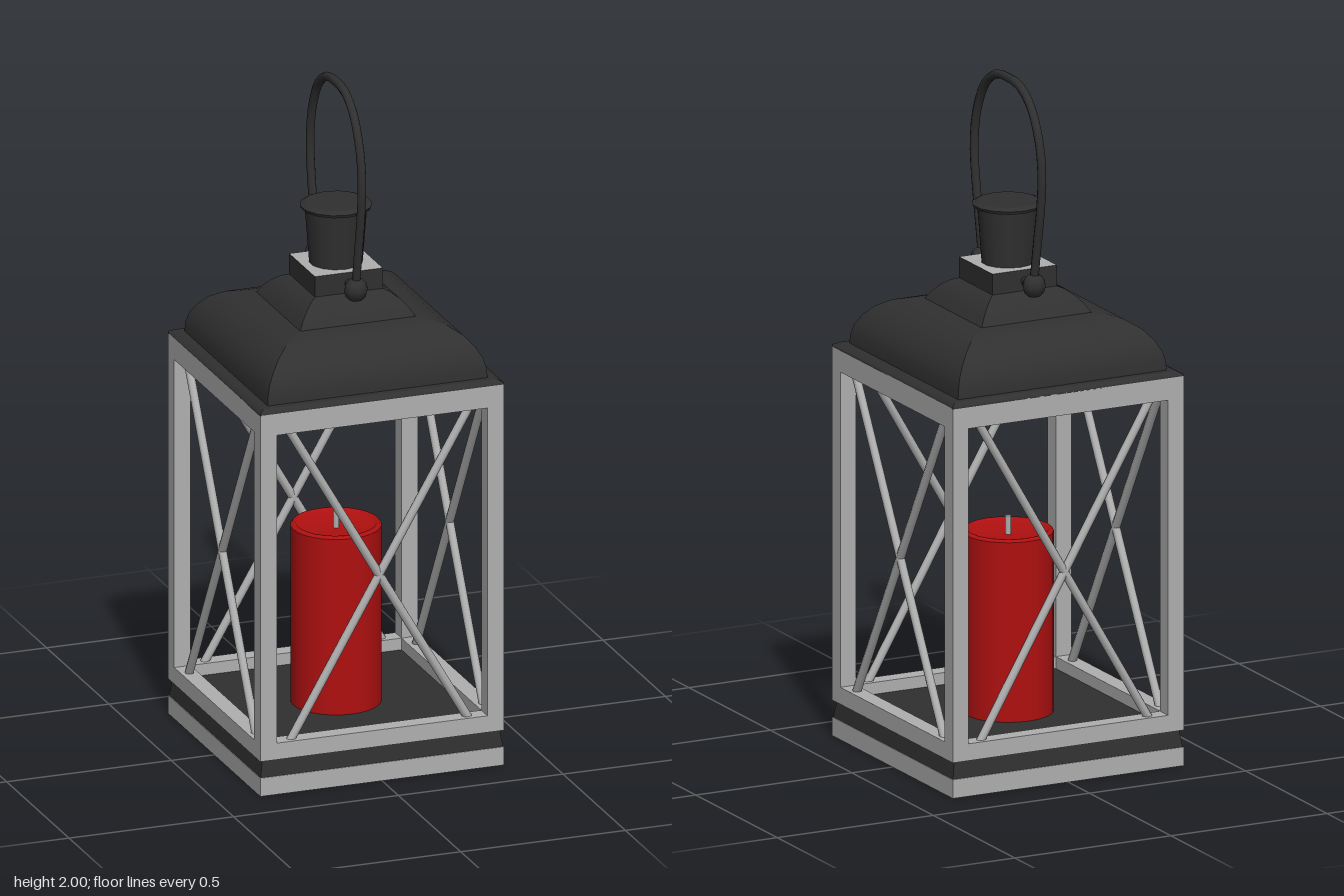
import * as THREE from 'three';
import { mergeGeometries } from 'three/addons/utils/BufferGeometryUtils.js';

const mat = (name, color) => {
  const m = new THREE.MeshStandardMaterial({ color });
  m.name = name;
  return m;
};

// Square loft: profile of [half width, y] from bottom to top, smooth along it, sharp at corners
function squareLoft(profile) {
  const sides = [];
  for (let s = 0; s < 4; s++) {
    const pos = [], idx = [];
    profile.forEach(([w, y], i) => {
      pos.push(-w, y, w, w, y, w);
      if (i) {
        const a = 2 * i - 2;
        idx.push(a, a + 1, a + 3, a, a + 3, a + 2);
      }
    });
    const g = new THREE.BufferGeometry();
    g.setAttribute('position', new THREE.Float32BufferAttribute(pos, 3));
    g.setIndex(idx);
    g.computeVertexNormals();
    sides.push(g.rotateY(s * Math.PI / 2));
  }
  return mergeGeometries(sides);
}

export function createModel() {
  const model = new THREE.Group();
  model.name = 'lantern';
  const black = mat('blackMetal', 0x303030);
  const grey = mat('greyFrame', 0xb0b0b0);
  const red = mat('redWax', 0xb01010);

  const add = (name, geo, material, x = 0, y = 0, z = 0, parent = model) => {
    const m = new THREE.Mesh(geo, material);
    m.name = name;
    m.position.set(x, y, z);
    parent.add(m);
    return m;
  };
  const box = (w, h, d) => new THREE.BoxGeometry(w, h, d);

  // Base: grey slab with black underside, tapered black band, black floor
  add('baseSlab', box(0.74, 0.055, 0.74), [grey, grey, grey, black, grey, grey], 0, 0.0275);
  add('baseBand', squareLoft([[0.368, 0.055], [0.36, 0.105]]), black);
  add('floor', box(0.7, 0.02, 0.7), black, 0, 0.11);

  // Four identical frame sides, each with a post, two rails and crossed braces
  const length = Math.hypot(0.55, 0.95), lean = Math.atan2(0.55, 0.95);
  for (let s = 0; s < 4; s++) {
    const side = new THREE.Group();
    side.name = 'frameSide' + (s + 1);
    side.rotation.y = s * Math.PI / 2;
    model.add(side);
    add('cornerPost', box(0.05, 1.045, 0.05), grey, 0.345, 0.6275, 0.345, side);
    add('bottomRail', box(0.64, 0.05, 0.05), grey, 0, 0.13, 0.345, side);
    add('topRail', box(0.64, 0.065, 0.05), grey, 0, 1.1175, 0.345, side);
    for (const dir of [-1, 1]) {
      const brace = add('crossBrace', new THREE.CylinderGeometry(0.013, 0.013, length, 8), grey, 0, 0.615, 0.345, side);
      brace.rotation.z = dir * lean;
    }
  }

  // Candle with a shallow dished top and wick
  const candle = [[0, 0.12], [0.13, 0.12], [0.13, 0.12], [0.13, 0.65], [0.13, 0.65],
    [0.125, 0.656], [0.115, 0.656], [0.105, 0.645], [0, 0.64]].map(p => new THREE.Vector2(...p));
  add('candle', new THREE.LatheGeometry(candle, 28), red);
  add('wick', new THREE.CylinderGeometry(0.009, 0.009, 0.06, 8), grey, 0, 0.665);

  // Roof: ceiling, eave, dome and upper tier
  add('ceiling', box(0.72, 0.012, 0.72), black, 0, 1.145);
  add('eaveEdge', squareLoft([[0.37, 1.148], [0.37, 1.155], [0.355, 1.163]]), black);
  add('eaveTop', box(0.71, 0.008, 0.71), black, 0, 1.159);
  add('roofDome', squareLoft([[0.334, 1.16], [0.332, 1.19], [0.324, 1.22], [0.307, 1.25],
    [0.28, 1.28], [0.245, 1.302], [0.21, 1.312], [0.17, 1.315]]), black);
  add('roofTier', squareLoft([[0.178, 1.31], [0.162, 1.337], [0.142, 1.36], [0.12, 1.377], [0.095, 1.387]]), black);
  add('neck', box(0.206, 0.065, 0.206), [black, black, grey, black, black, black], 0, 1.413);

  // Flared chimney and cap
  add('chimney', new THREE.CylinderGeometry(0.09, 0.077, 0.17, 14), black, 0, 1.53);
  add('chimneyRim', new THREE.CylinderGeometry(0.104, 0.1, 0.009, 14), black, 0, 1.614);
  add('chimneyCap', new THREE.CylinderGeometry(0.088, 0.104, 0.007, 14), black, 0, 1.622);

  // Knobs on pins at both sides of the neck
  for (const dir of [-1, 1]) {
    const pin = add('handlePin', new THREE.CylinderGeometry(0.013, 0.013, 0.08, 8), black, 0, 1.413, dir * 0.13);
    pin.rotation.x = Math.PI / 2;
    const knob = add('handleKnob', new THREE.SphereGeometry(0.036, 8, 6), black, 0, 1.413, dir * 0.16);
    knob.scale.z = 0.88;
  }

  // Arched carrying handle
  const half = [[0.158, 1.42], [0.178, 1.53], [0.2, 1.65], [0.208, 1.74], [0.192, 1.84], [0.14, 1.935], [0.07, 1.98]];
  const arch = [...half, [0, 1.987], ...half.slice().reverse().map(([z, y]) => [-z, y])]
    .map(([z, y]) => new THREE.Vector3(0, y, z));
  add('handle', new THREE.TubeGeometry(new THREE.CatmullRomCurve3(arch), 36, 0.013, 8), black);

  return model;
}
